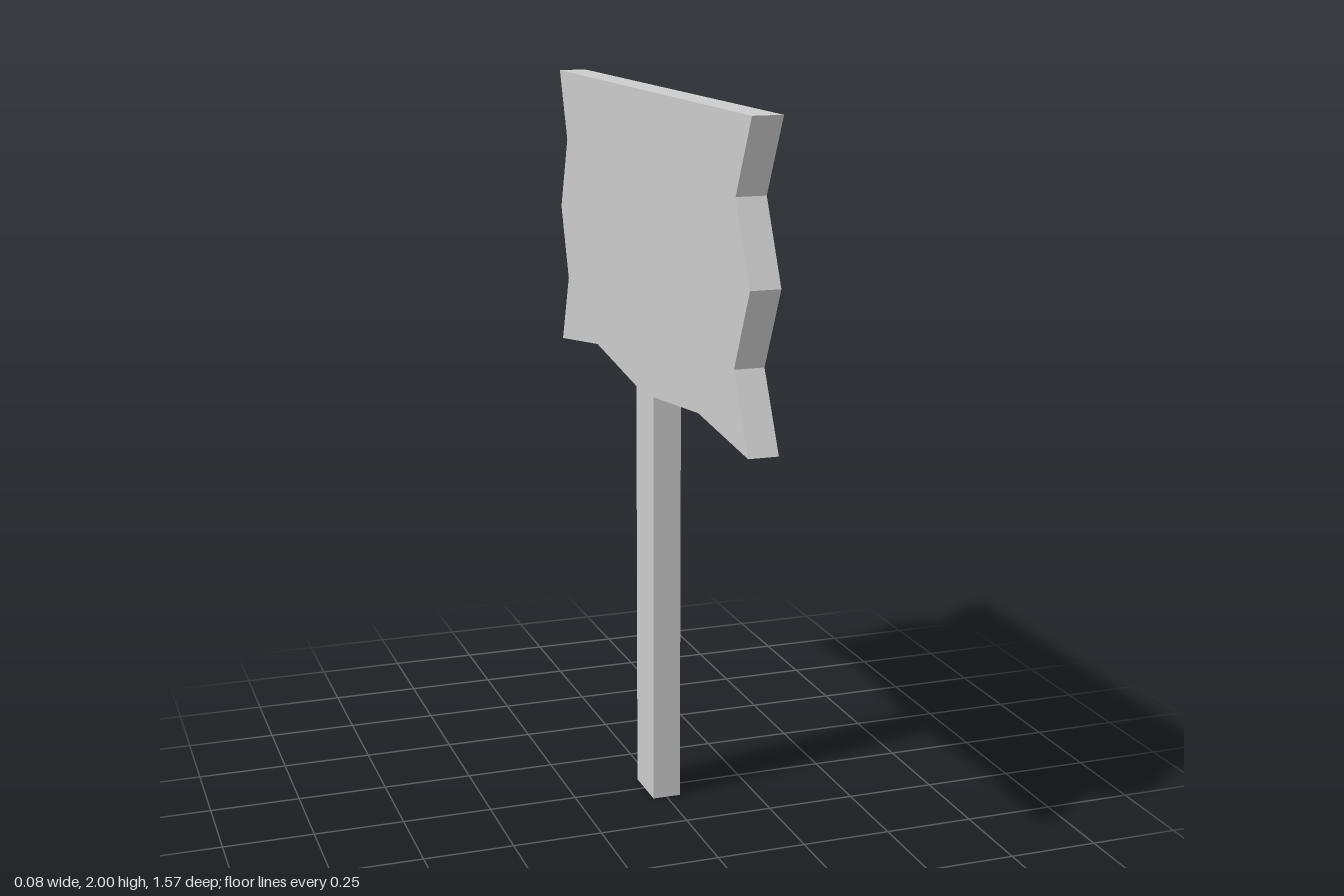
import * as THREE from 'three';

const THICKNESS = 0.08;

// Outline in the sign's own plane: [across, up], counter-clockwise
const backEdge = [[0.785, 1.18], [0.715, 1.38], [0.785, 1.59], [0.715, 1.8], [0.785, 2]];
const frontEdge = [[-0.785, 2], [-0.685, 1.8], [-0.785, 1.59], [-0.685, 1.38], [-0.785, 1.18]];
const post = [[-0.08, 1.18], [-0.08, 0], [0.065, 0], [0.065, 1.18]];
const outline = [...frontEdge, [-0.435, 1.215], ...post, [0.425, 1.23], ...backEdge];

export function createModel() {
  const group = new THREE.Group();
  group.name = 'signpost';

  // Jagged board and its post, cut as one flat slab
  const shape = new THREE.Shape(outline.map(([s, y]) => new THREE.Vector2(s, y)));
  const geometry = new THREE.ExtrudeGeometry(shape, { depth: THICKNESS, bevelEnabled: false });
  geometry.translate(0, 0, -THICKNESS / 2);
  geometry.rotateY(Math.PI / 2); // broad faces look along x

  const material = new THREE.MeshStandardMaterial({ color: 0xcccccc, flatShading: true });
  const sign = new THREE.Mesh(geometry, material);
  sign.name = 'signBoardAndPost';
  group.add(sign);

  return group;
}
